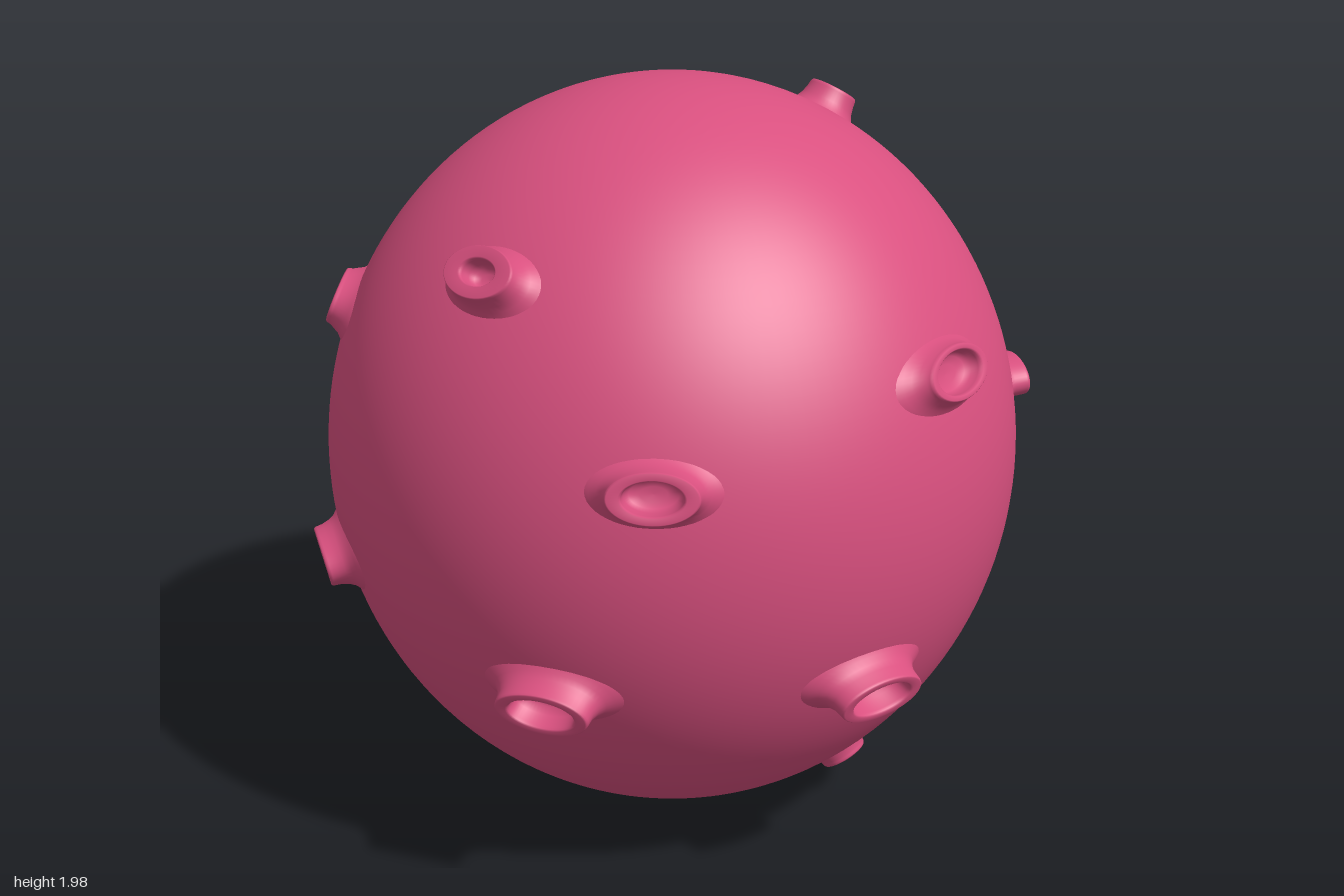
import * as THREE from 'three';

const CENTER = new THREE.Vector3(0, 1, 0.05);
const RADII = new THREE.Vector3(0.925, 0.99, 0.925);

// Rim position, width, height, protrusion, hole size relative to the rim
const PORES = [
  [-0.12, 1.67, 0.80, 0.21, 0.14, 0.06, 0.5],
  [0.43, 1.23, 0.92, 0.23, 0.13, 0.07, 0.65],
  [-0.80, 1.39, 0.44, 0.25, 0.14, 0.045, 0.6],
  [0.88, 1.39, 0.19, 0.25, 0.14, 0.05, 0.75],
  [-0.70, 0.75, 0.72, 0.25, 0.14, 0.065, 0.42],
  [0.14, 0.60, 0.98, 0.25, 0.14, 0.075, 0.7],
  [0.84, 0.59, 0.47, 0.25, 0.14, 0.08, 0.7],
  [-0.74, 0.33, 0.14, 0.19, 0.14, 0.055, 0.65],
  [0.70, 1.08, -0.66, 0.20, 0.11, 0.085, 0.72],
  [0.49, 0.13, -0.03, 0.14, 0.13, 0.045, 0.6],
  [0.235, 1.88, -0.41, 0.14, 0.13, 0.06, 0.6],
  [-0.17, 0.735, -0.98, 0.27, 0.14, 0.14, 0.8],
  [-0.63, 1.35, -0.60, 0.26, 0.14, 0.045, 0.5],
];

// Short oval tube with a flared foot, a rounded rim and an open hole
function poreGeometry(width, height, p, hole) {
  const profile = [
    [1.55, -0.024], [1.36, -0.008], [1.2, 0.004], [1.09, 0.02], [1.02, 0.04 * Math.min(1, p / 0.06)],
    [1, p - 0.009], [0.985, p - 0.003], [0.95, p],
    [hole + 0.06, p], [hole + 0.015, p - 0.004], [hole, p - 0.012],
    [hole * 0.95, p * 0.4], [hole * 0.8, 0.008], [hole * 0.45, 0.002], [0, 0.001],
  ].map(([r, y]) => new THREE.Vector2(r * width / 2, y));
  const geometry = new THREE.LatheGeometry(profile, 48);
  geometry.scale(1, 1, height / width);
  return geometry;
}

export function createModel() {
  const model = new THREE.Group();
  model.name = 'porousBall';
  const material = new THREE.MeshStandardMaterial({ color: 0xd9507f });

  // Slightly tall round body
  const body = new THREE.Mesh(new THREE.SphereGeometry(1, 128, 80), material);
  body.name = 'body';
  body.scale.copy(RADII);
  body.position.copy(CENTER);
  model.add(body);

  // Tubes standing square to the skin, their long axis level
  const up = new THREE.Vector3(0, 1, 0);
  PORES.forEach(([x, y, z, width, height, p, hole], i) => {
    const unit = new THREE.Vector3(x, y, z).sub(CENTER).divide(RADII).normalize();
    const normal = unit.clone().divide(RADII).normalize();
    const side = new THREE.Vector3().crossVectors(up, normal).normalize();
    const down = new THREE.Vector3().crossVectors(side, normal);
    const pore = new THREE.Mesh(poreGeometry(width, height, p, hole), material);
    pore.name = `pore${i + 1}`;
    pore.quaternion.setFromRotationMatrix(new THREE.Matrix4().makeBasis(side, normal, down));
    pore.position.copy(unit.multiply(RADII).add(CENTER));
    model.add(pore);
  });
  return model;
}
